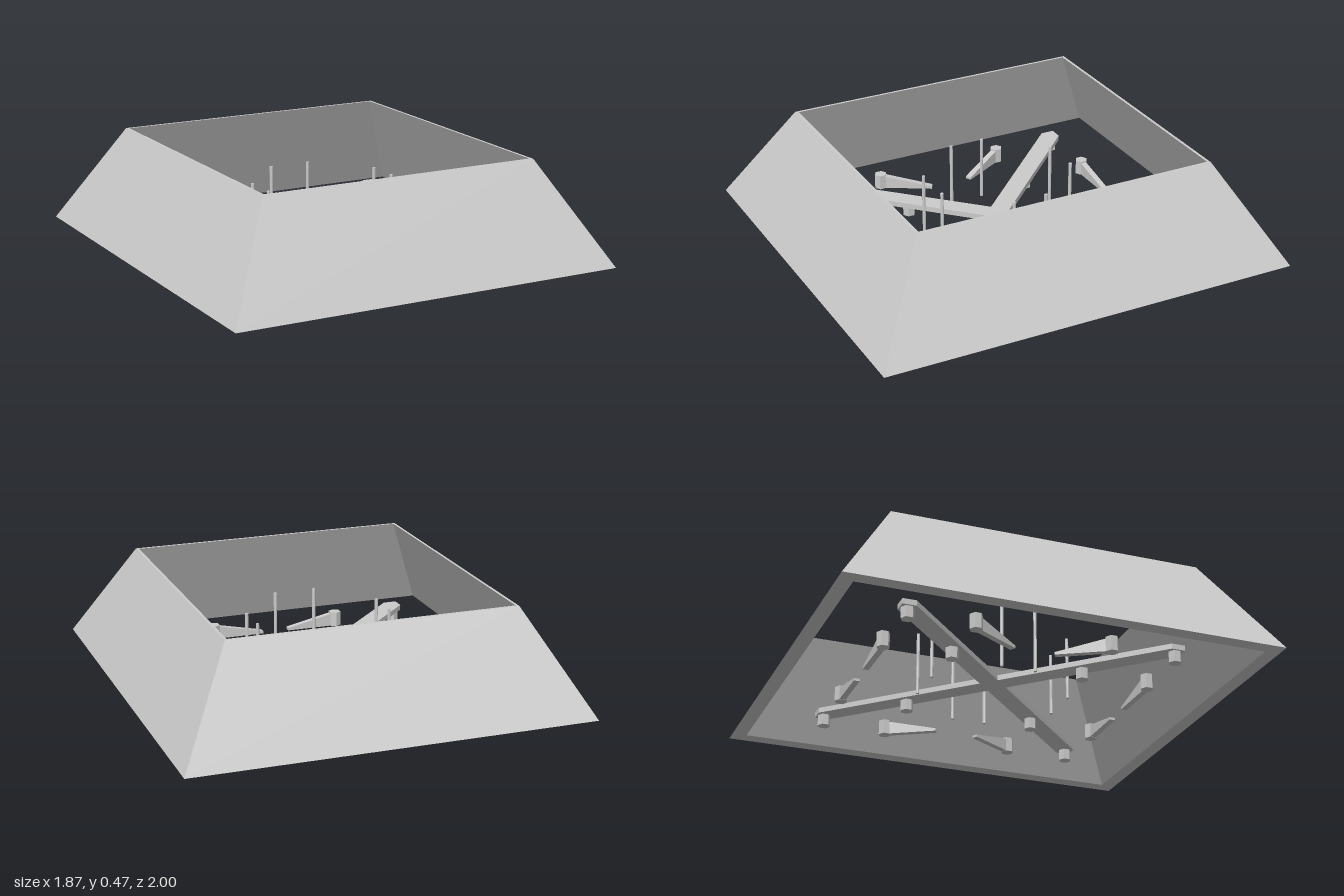
import * as THREE from 'three';

const mat = new THREE.MeshStandardMaterial({ color: 0xcccccc, flatShading: true });
const signs = [[1, 1], [1, -1], [-1, -1], [-1, 1]];

function add(parent, name, geometry, x = 0, y = 0, z = 0) {
  const mesh = new THREE.Mesh(geometry, mat);
  mesh.name = name;
  mesh.position.set(x, y, z);
  parent.add(mesh);
  return mesh;
}

// Closed ring of walls swept through rectangular loops [halfX, y, halfZ]
function wallGeometry(loops) {
  const pos = [];
  loops.forEach((lo, i) => {
    const hi = loops[(i + 1) % loops.length];
    const at = (l, k) => [l[0] * signs[k % 4][0], l[1], l[2] * signs[k % 4][1]];
    for (let k = 0; k < 4; k++) {
      const a = at(lo, k), b = at(lo, k + 1), c = at(hi, k + 1), d = at(hi, k);
      pos.push(...a, ...b, ...c, ...a, ...c, ...d);
    }
  });
  const g = new THREE.BufferGeometry();
  g.setAttribute('position', new THREE.Float32BufferAttribute(pos, 3));
  g.computeVertexNormals();
  return g;
}

// Plan outline of the diagonal cross with pointed arm ends
function crossGeometry() {
  const pts = [];
  for (let k = 0; k < 4; k++) {
    for (const [x, y] of [[0.045, -0.045], [0.881, -0.045], [0.926, 0], [0.881, 0.045]]) {
      pts.push(new THREE.Vector2(x, y).rotateAround(new THREE.Vector2(), Math.PI / 4 + k * Math.PI / 2));
    }
  }
  const g = new THREE.ExtrudeGeometry(new THREE.Shape(pts), { depth: 0.025, bevelEnabled: false });
  return g.rotateX(-Math.PI / 2);
}

export function createModel() {
  const model = new THREE.Group();
  model.name = 'slopedFrame';

  // Sloping walls, thick at the foot and thin at the rim
  add(model, 'slopedWalls', wallGeometry([
    [0.935, 0.002, 1], [0.67, 0.47, 0.72], [0.658, 0.47, 0.707], [0.867, 0.002, 0.932],
  ]));

  // Diagonal cross on short hexagonal feet
  add(model, 'crossBeams', crossGeometry(), 0, 0.052, 0);
  const foot = new THREE.CylinderGeometry(0.03, 0.03, 0.053, 6);
  for (const [sx, sz] of signs) {
    for (const r of [0.31, 0.62]) add(model, 'beamFoot', foot, sx * r, 0.0265, sz * r);
  }

  // Thin upright rods
  const rod = new THREE.CylinderGeometry(0.008, 0.008, 0.3, 8);
  for (const [sx, sz] of signs) {
    add(model, 'rod', rod, sx * 0.32, 0.15, sz * 0.08);
    add(model, 'rod', rod, sx * 0.097, 0.15, sz * 0.33);
  }

  // Levers: hexagonal head with a tapering arm
  const head = new THREE.CylinderGeometry(0.03, 0.03, 0.07, 6);
  const profile = new THREE.Shape([[0, 0.002], [0.25, 0.002], [0.25, 0.014], [0, 0.068]]
    .map(([x, y]) => new THREE.Vector2(x, y)));
  const arm = new THREE.ExtrudeGeometry(profile, { depth: 0.028, bevelEnabled: false }).translate(0, 0, -0.014);
  for (const [sx, sz] of signs) {
    for (const [x, z, dx, dz] of [[0.315, 0.628, -1, 0], [0.625, 0.315, -0.5, -0.866]]) {
      const lever = new THREE.Group();
      lever.name = 'lever';
      lever.position.set(sx * x, 0, sz * z);
      lever.rotation.y = Math.atan2(-dz * sz, dx * sx);
      add(lever, 'leverHead', head, 0, 0.036, 0);
      add(lever, 'leverArm', arm);
      model.add(lever);
    }
  }
  return model;
}
